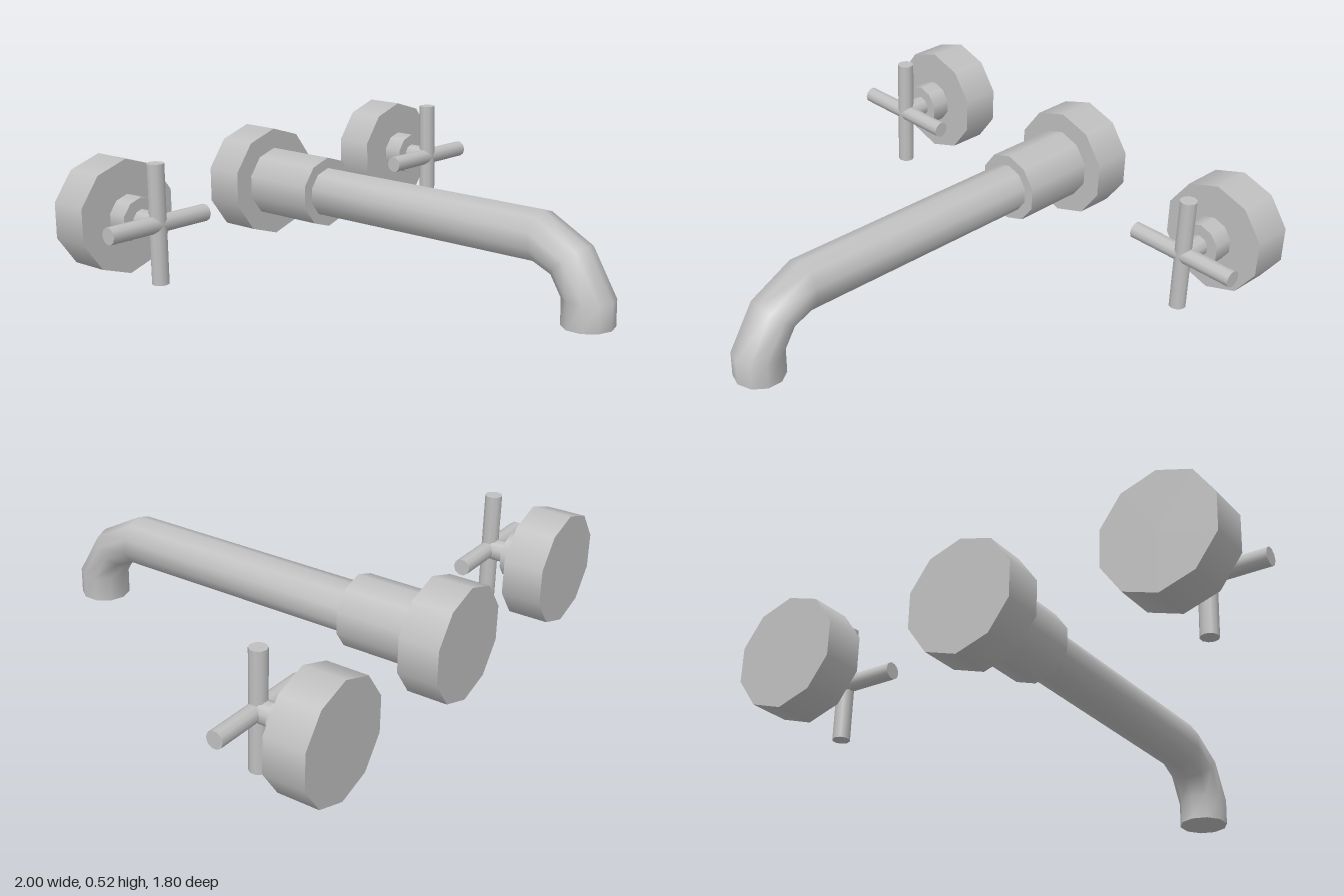
import * as THREE from 'three';

const SIDES = 10;
const AXIS_Y = 0.29;
const SPOUT_X = -0.008;

export function createModel() {
  const model = new THREE.Group();
  model.name = 'wallTap';
  const metal = new THREE.MeshStandardMaterial({ color: 0xc0c0c0 });
  metal.name = 'brushedMetal';

  function add(parent, name, geometry) {
    const mesh = new THREE.Mesh(geometry, metal);
    mesh.name = name;
    parent.add(mesh);
    return mesh;
  }

  // Capped cylinder running along z between two depths
  function addDisc(parent, name, radius, zBack, zFront) {
    const geometry = new THREE.CylinderGeometry(radius, radius, zFront - zBack, SIDES);
    geometry.rotateX(Math.PI / 2);
    add(parent, name, geometry).position.z = (zBack + zFront) / 2;
  }

  // Cross handles, one on each side
  for (const side of [-1, 1]) {
    const handle = new THREE.Group();
    handle.name = side > 0 ? 'leftHandle' : 'rightHandle';
    handle.position.set(side * 0.773, AXIS_Y, 0);
    addDisc(handle, 'wallPlate', 0.22, -0.9, -0.742);
    addDisc(handle, 'hub', 0.087, -0.742, -0.662);
    addDisc(handle, 'stem', 0.042, -0.662, -0.572);
    const bar = new THREE.CylinderGeometry(0.033, 0.033, 0.455, SIDES);
    add(handle, 'verticalBar', bar).position.z = -0.572;
    const cross = add(handle, 'horizontalBar', bar);
    cross.position.z = -0.572;
    cross.rotation.z = Math.PI / 2;
    model.add(handle);
  }

  // Spout with wall plate and collar
  const spout = new THREE.Group();
  spout.name = 'spout';
  spout.position.set(SPOUT_X, AXIS_Y, 0);
  addDisc(spout, 'wallPlate', 0.22, -0.9, -0.742);
  addDisc(spout, 'collar', 0.14, -0.742, -0.44);
  model.add(spout);

  // Pipe cross-sections: centre z, centre y, then the outer radius vector in z and y
  const r = 0.098;
  const sections = [
    [-0.5, 0, 0, r],
    [0.6, 0, 0, r],
    [0.7275, -0.065, 0.0625, 0.06],
    [0.802, -0.19, r, 0],
    [0.802, -AXIS_Y, r, 0],
  ];
  const positions = [];
  const indices = [];
  sections.forEach(([z, y, dz, dy], ring) => {
    for (let i = 0; i < SIDES; i++) {
      const angle = (i / SIDES) * Math.PI * 2;
      const c = Math.cos(angle);
      positions.push(Math.sin(angle) * r, y + c * dy, z + c * dz);
      if (ring === 0) continue;
      const a = (ring - 1) * SIDES + i;
      const b = (ring - 1) * SIDES + ((i + 1) % SIDES);
      indices.push(a, a + SIDES, b, b, a + SIDES, b + SIDES);
    }
  });
  const pipe = new THREE.BufferGeometry();
  pipe.setAttribute('position', new THREE.Float32BufferAttribute(positions, 3));
  pipe.setIndex(indices);
  pipe.computeVertexNormals();
  add(spout, 'pipe', pipe);

  // Closed outlet end
  const outlet = new THREE.CircleGeometry(r, SIDES, Math.PI / 2);
  outlet.rotateX(Math.PI / 2);
  add(spout, 'outlet', outlet).position.set(0, -AXIS_Y, 0.802);

  return model;
}
